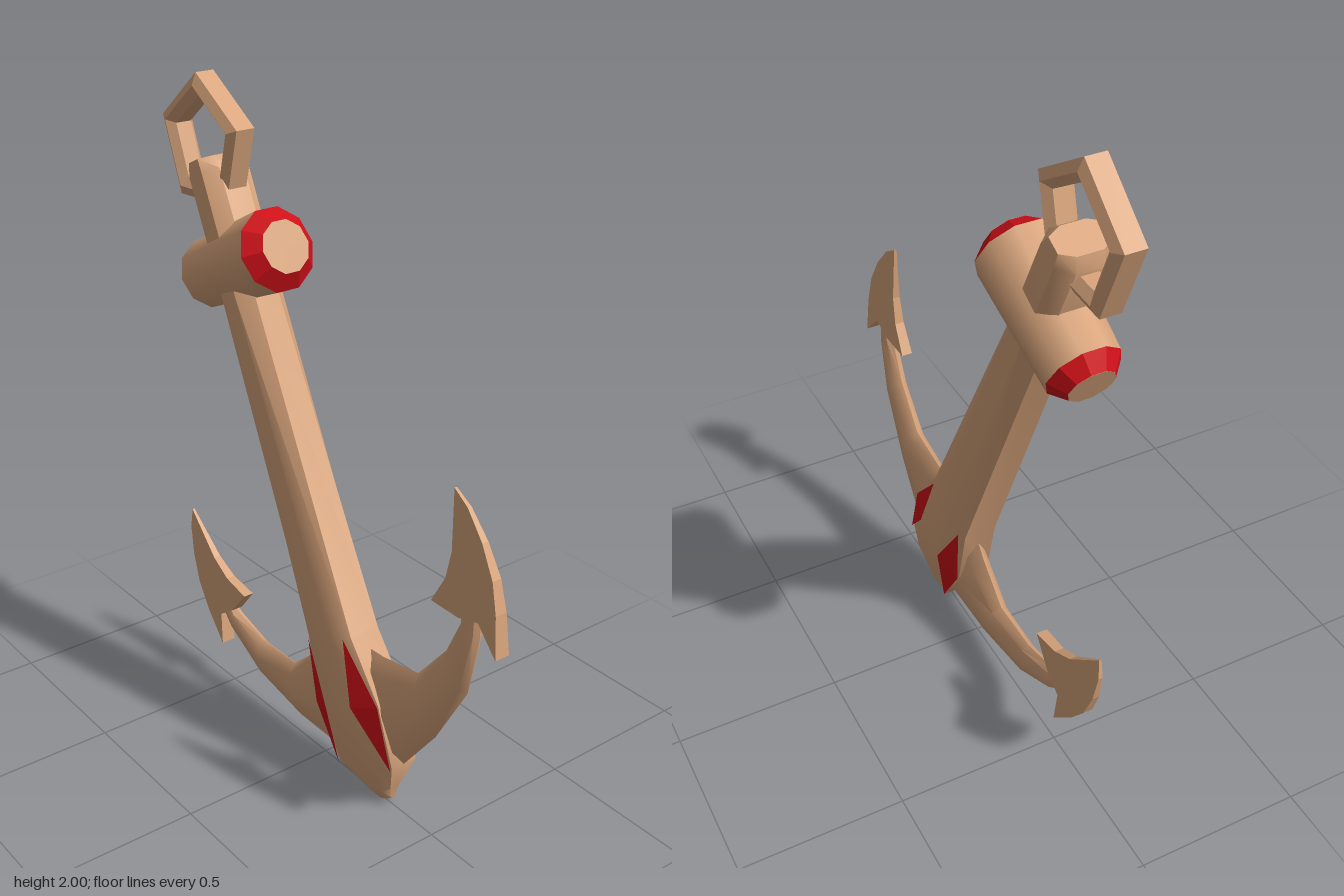
import * as THREE from 'three';
import { toCreasedNormals } from 'three/addons/utils/BufferGeometryUtils.js';

const tan = new THREE.MeshStandardMaterial({ color: 0xd9a57c });
const red = new THREE.MeshStandardMaterial({ color: 0xd01018 });

// Closed skin over rings of equal point count, capped at both ends
function loft(rings) {
  const n = rings[0].length, last = (rings.length - 1) * n, index = [];
  for (let i = 0; i < rings.length - 1; i++) {
    for (let j = 0; j < n; j++) {
      const a = i * n + j, b = i * n + (j + 1) % n;
      index.push(a, b, a + n, b, b + n, a + n);
    }
  }
  for (let j = 1; j < n - 1; j++) {
    index.push(0, j + 1, j, last, last + j, last + j + 1);
  }
  const geo = new THREE.BufferGeometry();
  geo.setAttribute('position', new THREE.Float32BufferAttribute(rings.flat(2), 3));
  geo.setIndex(index);
  return toCreasedNormals(geo, 0.7);
}

function add(parent, name, geo, material) {
  const mesh = new THREE.Mesh(geo, material);
  mesh.name = name;
  parent.add(mesh);
  return mesh;
}

// Shank and crown: octagons [height, flat half width, flat z, side half width, side z]
function shankGeometry() {
  return loft([
    [0, 0.015, 0.015, 0.03, 0.006],
    [0.033, 0.03, 0.034, 0.05, 0.015],
    [0.115, 0.06, 0.06, 0.131, 0.045],
    [0.31, 0.065, 0.08, 0.155, 0.05],
    [0.515, 0.05, 0.08, 0.11, 0.05],
    [1.53, 0.035, 0.08, 0.075, 0.04],
    [1.895, 0.035, 0.08, 0.07, 0.04],
    [1.935, 0.025, 0.075, 0.045, 0.035],
  ].map(([y, a, f, w, g]) => [
    [w, y, g], [w, y, -g], [a, y, -f], [-a, y, -f],
    [-w, y, -g], [-w, y, g], [-a, y, f], [a, y, f],
  ]));
}

// Arm: elliptical sections [inner x, inner y, outer x, outer y, half thickness]
function armGeometry() {
  return loft([
    [0.06, 0.49, 0.06, 0.08, 0.04],
    [0.174, 0.443, 0.131, 0.115, 0.046],
    [0.32, 0.402, 0.321, 0.214, 0.036],
    [0.475, 0.474, 0.518, 0.354, 0.028],
    [0.584, 0.566, 0.631, 0.511, 0.024],
    [0.62, 0.65, 0.68, 0.62, 0.015],
  ].map(([ix, iy, ox, oy, t]) => Array.from({ length: 8 }, (_, k) => {
    const c = Math.cos(k * Math.PI / 4), s = Math.sin(k * Math.PI / 4);
    return [(ix + ox + (ix - ox) * c) / 2, (iy + oy + (iy - oy) * c) / 2, t * s];
  })));
}

// Fluke: barbed blade that thins towards its tip
function flukeGeometry() {
  const outline = [
    [0.693, 0.918], [0.624, 0.753], [0.572, 0.682], [0.489, 0.622], [0.588, 0.575],
    [0.665, 0.562], [0.701, 0.462], [0.742, 0.58], [0.76, 0.671], [0.753, 0.77], [0.728, 0.863],
  ].map(p => new THREE.Vector2(...p));
  const geo = new THREE.ExtrudeGeometry(new THREE.Shape(outline), { depth: 2, bevelEnabled: false });
  const pos = geo.attributes.position;
  for (let i = 0; i < pos.count; i++) {
    const half = THREE.MathUtils.mapLinear(pos.getY(i), 0.46, 0.918, 0.024, 0.004);
    pos.setZ(i, (pos.getZ(i) - 1) * half);
  }
  geo.computeVertexNormals();
  return geo;
}

// Red lozenge folded over one shoulder of the crown, facing front
function lozengeGeometry() {
  const lift = 0.006;
  const geo = new THREE.BufferGeometry();
  const top = [0.091, 0.515, 0.06 + lift], outer = [0.157, 0.308, 0.05 + lift];
  const bottom = [0.131, 0.111, 0.046 + lift], inner = [0.065, 0.314, 0.08 + lift];
  geo.setAttribute('position', new THREE.Float32BufferAttribute(
    [top, inner, outer, inner, bottom, outer].flat(), 3));
  geo.computeVertexNormals();
  return geo;
}

export function createModel() {
  const model = new THREE.Group();
  model.name = 'anchor';
  const body = new THREE.Group();
  body.name = 'tiltedAnchor';
  body.position.set(0.3, 0.012, 0);
  body.rotation.z = THREE.MathUtils.degToRad(25);
  model.add(body);

  add(body, 'shank', shankGeometry(), tan);

  // Two identical halves, turned about the shank
  const arm = armGeometry(), fluke = flukeGeometry(), lozenge = lozengeGeometry();
  const lozengeMirror = lozenge.clone().rotateY(Math.PI);
  const back = lozenge.clone().scale(1, 1, -1);
  back.setIndex([0, 2, 1, 3, 5, 4]);
  back.computeVertexNormals();
  const backMirror = back.clone().rotateY(Math.PI);
  for (const [side, turn] of [['left', 0], ['right', Math.PI]]) {
    const half = new THREE.Group();
    half.name = side + 'Half';
    half.rotation.y = turn;
    add(half, side + 'Arm', arm, tan);
    add(half, side + 'Fluke', fluke, tan);
    body.add(half);
  }
  for (const geo of [lozenge, lozengeMirror, back, backMirror]) add(body, 'crownLozenge', geo, red);

  // Crossbar with bevelled red rims and plain end discs
  const stock = new THREE.Group();
  stock.name = 'stock';
  stock.position.y = 1.63;
  body.add(stock);
  const bar = new THREE.CylinderGeometry(0.122, 0.105, 0.37, 10, 1, true).rotateZ(-Math.PI / 2);
  add(stock, 'crossbar', bar, tan);
  for (const [s, r] of [[1, 0.122], [-1, 0.105]]) {
    const end = new THREE.Group();
    end.name = 'stockEnd';
    end.rotation.z = -s * Math.PI / 2;
    end.position.x = s * 0.185;
    stock.add(end);
    const rim = new THREE.CylinderGeometry(r * 0.63, r, 0.045, 10, 1, true);
    add(end, 'redRim', toCreasedNormals(rim, 0.4), red).position.y = 0.0225;
    const disc = new THREE.CylinderGeometry(r * 0.63, r * 0.63, 0.004, 10);
    add(end, 'endDisc', disc, tan).position.y = 0.0435;
  }

  // Five-sided shackle ring
  const profile = [
    [0.135, -0.025], [0.165, -0.045], [0.2, -0.03], [0.2, 0.03],
    [0.165, 0.045], [0.135, 0.025], [0.135, -0.025],
  ].map(p => new THREE.Vector2(...p));
  const ring = new THREE.LatheGeometry(profile, 5, THREE.MathUtils.degToRad(158)).rotateX(Math.PI / 2);
  add(body, 'shackleRing', toCreasedNormals(ring, 0.2), tan).position.set(-0.013, 1.981, 0);

  return model;
}
